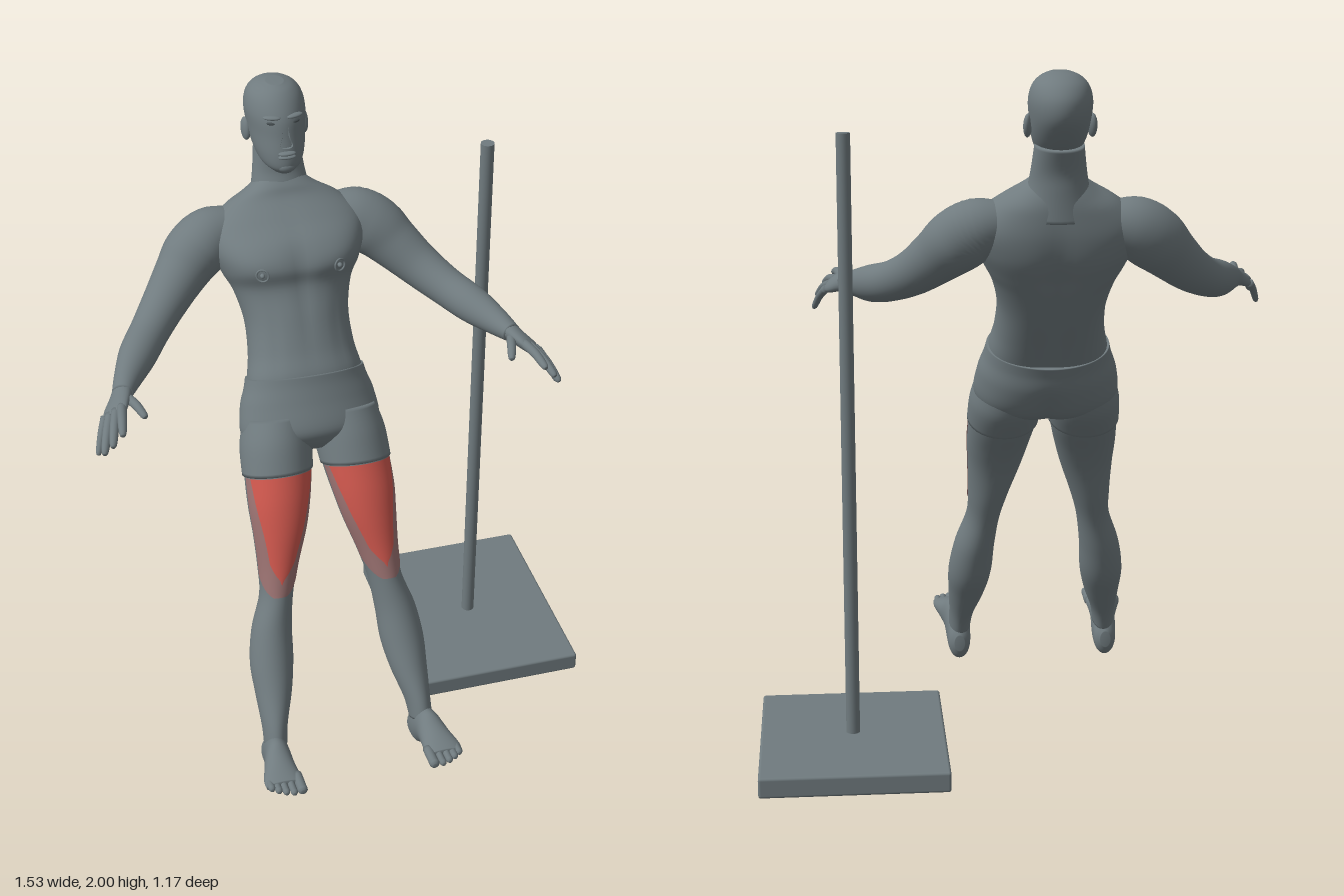
import * as THREE from 'three';
import { RoundedBoxGeometry } from 'three/addons/geometries/RoundedBoxGeometry.js';

const V = (x, y, z) => new THREE.Vector3(x, y, z);
const bell = (d, w) => Math.exp(-(d * d) / (w * w));

// Smoothly subdivide rows of numbers [x, y, z, radiusA, radiusB]
function smooth(rows, n = 6) {
  const at = i => rows[Math.max(0, Math.min(rows.length - 1, i))];
  const out = [];
  for (let i = 0; i < rows.length - 1; i++) for (let k = 0; k < n; k++) {
    const t = k / n, [a, b, c, d] = [at(i - 1), at(i), at(i + 1), at(i + 2)];
    out.push(b.map((p, j) => p + 0.5 * t * (c[j] - a[j] + t * (2 * a[j] - 5 * p + 4 * c[j] - d[j]
      + t * (3 * (p - c[j]) + d[j] - a[j])))));
  }
  out.push(rows[rows.length - 1]);
  return out;
}

// Skin elliptical rings. frame gives the ring axes, bump scales the radius,
// half limits the ring to an open strip around its front.
function loft(rows, frame, { bump = () => 1, half = null, offset = 0, seg = 36, steps = 6 } = {}) {
  const R = smooth(rows, steps), pos = [], idx = [];
  const ring = (r, i, k) => {
    const c = V(r[0], r[1], r[2]), [u, v] = frame(R, i), w = half ? half(r[1]) : Math.PI;
    const count = half ? seg + 1 : seg;
    for (let j = 0; j < count; j++) {
      const phi = -w + 2 * w * j / seg, m = bump(phi, r[1]) * k;
      const p = c.clone().addScaledVector(u, Math.sin(phi) * (r[3] + offset) * m)
        .addScaledVector(v, -Math.cos(phi) * (r[4] + offset) * m);
      pos.push(p.x, p.y, p.z);
    }
    return count;
  };
  const last = R.length - 1;
  let count = 0, rings = 0;
  const add = (i, k) => { count = ring(R[i], i, k); rings++; };
  if (!half) add(0, 0.001);
  R.forEach((r, i) => add(i, 1));
  if (!half) add(last, 0.001);
  for (let i = 0; i < rings - 1; i++) for (let j = 0; j < seg; j++) {
    const a = i * count + j, b = i * count + (j + 1) % count;
    idx.push(a, b, b + count, a, b + count, a + count);
  }
  const g = new THREE.BufferGeometry();
  g.setAttribute('position', new THREE.Float32BufferAttribute(pos, 3));
  g.setIndex(idx);
  g.computeVertexNormals();
  return g;
}

// Ring frames: level or leaning rings, rings facing forward, rings across a path
const lean = k => () => [V(1, 0, 0), V(0, -k, -1)];
const forward = () => [V(1, 0, 0), V(0, 1, 0)];
const across = ref => (R, i) => {
  const a = R[Math.max(0, i - 1)], b = R[Math.min(R.length - 1, i + 1)];
  const t = V(b[0] - a[0], b[1] - a[1], b[2] - a[2]).normalize();
  const u = ref.clone().addScaledVector(t, -ref.dot(t)).normalize();
  return [u, t.clone().cross(u)];
};

export function createModel() {
  const grey = new THREE.MeshStandardMaterial({ color: 0x707b7f });
  const red = new THREE.MeshStandardMaterial({ color: 0xcc564c, side: THREE.DoubleSide });
  const paleRed = new THREE.MeshStandardMaterial({ color: 0x98706f, side: THREE.DoubleSide });
  const dark = new THREE.MeshStandardMaterial({ color: 0x454d50 });
  grey.name = 'slateGrey'; red.name = 'muscleRed'; paleRed.name = 'paleRed'; dark.name = 'darkGrey';

  const model = new THREE.Group(), body = new THREE.Group();
  model.name = 'figureWithStand';
  body.name = 'figure';
  body.position.x = -0.085;
  model.add(body);
  const put = (name, geo, mat = grey, parent = body) => {
    const m = new THREE.Mesh(geo, mat);
    m.name = name;
    parent.add(m);
    return m;
  };
  const blob = (name, x, y, z, sx, sy, sz, mat = grey) => {
    const m = put(name, new THREE.SphereGeometry(1, 20, 14), mat);
    m.position.set(x, y, z);
    m.scale.set(sx, sy, sz);
    return m;
  };

  // Stand
  put('standBase', new RoundedBoxGeometry(0.54, 0.06, 0.66, 2, 0.008), grey, model).position.set(0.495, 0.03, -0.25);
  put('standPole', new THREE.CylinderGeometry(0.02, 0.02, 1.765, 24), grey, model).position.set(0.495, 0.9325, -0.245);

  // Torso with chest, breastbone groove and spine groove
  put('torso', loft([
    [0, 1.14, -0.13, 0.17, 0.1], [0, 1.19, -0.145, 0.172, 0.11], [0, 1.255, -0.185, 0.158, 0.113],
    [0, 1.34, -0.235, 0.155, 0.12], [0, 1.42, -0.278, 0.175, 0.124], [0, 1.475, -0.295, 0.203, 0.134],
    [0, 1.535, -0.33, 0.228, 0.13], [0, 1.588, -0.37, 0.228, 0.105], [0, 1.64, -0.4, 0.17, 0.077],
    [0, 1.675, -0.41, 0.11, 0.064], [0, 1.7, -0.415, 0.075, 0.05],
  ], lean(0.47), {
    seg: 64,
    bump: (p, y) => {
      const q = Math.abs(p), back = Math.PI - q;
      return 1 + 0.04 * Math.sin(2 * p) ** 2 + 0.08 * bell(q - 0.55, 0.42) * bell(y - 1.49, 0.05)
        - 0.04 * bell(p, 0.13) * bell(y - 1.42, 0.16) - 0.09 * bell(back, 0.2) * bell(y - 1.4, 0.2)
        + 0.04 * bell(back - 0.6, 0.35) * bell(y - 1.5, 0.1) - 0.02 * bell(q - 0.62, 0.1) * bell(y - 1.3, 0.1);
    },
  }));

  // Shorts
  put('shorts', loft([
    [0, 0.985, -0.055, 0.09, 0.055], [0, 1.01, -0.065, 0.17, 0.09], [0, 1.045, -0.08, 0.21, 0.112],
    [0, 1.115, -0.118, 0.203, 0.118], [0, 1.165, -0.137, 0.186, 0.116], [0, 1.195, -0.148, 0.178, 0.117],
  ], lean(0.47), {
    seg: 64,
    bump: (p, y) => {
      const back = Math.PI - Math.abs(p);
      return 1 + 0.07 * bell(back - 0.65, 0.45) * bell(y - 1.04, 0.07) - 0.1 * bell(back, 0.16) * bell(y - 1.03, 0.07);
    },
  }));

  // Neck and head
  put('neck', loft([
    [0, 1.6, -0.41, 0.11, 0.07], [0, 1.68, -0.413, 0.086, 0.065], [0, 1.735, -0.425, 0.076, 0.056],
    [0, 1.8, -0.44, 0.068, 0.065],
  ], lean(0.2)));
  put('head', loft([
    [0, 1.762, -0.375, 0.035, 0.055], [0, 1.783, -0.395, 0.06, 0.09], [0, 1.82, -0.42, 0.075, 0.113],
    [0, 1.87, -0.447, 0.083, 0.127], [0, 1.92, -0.457, 0.087, 0.123], [0, 1.96, -0.458, 0.077, 0.099],
    [0, 1.985, -0.452, 0.054, 0.066], [0, 1.997, -0.445, 0.025, 0.03],
  ], lean(0)));
  put('nose', loft([
    [0, 1.915, -0.335, 0.009, 0.008], [0, 1.88, -0.316, 0.011, 0.014], [0, 1.858, -0.311, 0.018, 0.018],
    [0, 1.848, -0.318, 0.014, 0.012],
  ], lean(0), { seg: 16 }));
  for (const y of [1.832, 1.821]) blob('lip', 0, y, -0.309, 0.026, 0.006, 0.012);
  blob('chin', 0, 1.785, -0.322, 0.027, 0.019, 0.02);

  for (const s of [1, -1]) {
    const side = s > 0 ? 'left' : 'right';
    const flip = rows => rows.map(([x, ...rest]) => [s * x, ...rest]);

    // Face and chest details
    blob(side + 'Ear', s * 0.087, 1.852, -0.452, 0.012, 0.034, 0.02).rotation.set(-0.3, s * -0.35, 0);
    blob(side + 'Brow', s * 0.034, 1.93, -0.347, 0.026, 0.006, 0.011).rotation.y = s * 0.35;
    blob(side + 'Eye', s * 0.034, 1.913, -0.347, 0.015, 0.005, 0.008, dark).rotation.y = s * 0.35;
    const areola = put(side + 'Areola', new THREE.TorusGeometry(0.018, 0.003, 8, 24));
    areola.position.set(s * 0.115, 1.53, -0.162);
    areola.rotation.set(-0.15, s * 0.45, 0);
    blob(side + 'Nipple', s * 0.115, 1.53, -0.162, 0.007, 0.007, 0.009);

    // Arm
    const ref = V(s * -0.75, -0.6, 0);
    put(side + 'Arm', loft(flip([
      [0.13, 1.575, -0.375, 0.06, 0.06], [0.215, 1.562, -0.37, 0.086, 0.086], [0.275, 1.525, -0.35, 0.09, 0.09],
      [0.325, 1.48, -0.315, 0.078, 0.078], [0.385, 1.428, -0.26, 0.066, 0.066], [0.445, 1.39, -0.185, 0.058, 0.058],
      [0.5, 1.368, -0.1, 0.053, 0.055], [0.545, 1.355, -0.015, 0.039, 0.041], [0.575, 1.347, 0.05, 0.032, 0.027],
    ]), across(V(s * 0.75, -0.6, 0))));

    // Hand
    put(side + 'Palm', loft(flip([
      [0.57, 1.349, 0.035, 0.031, 0.026], [0.585, 1.345, 0.07, 0.037, 0.022], [0.603, 1.338, 0.105, 0.043, 0.019],
      [0.614, 1.332, 0.132, 0.038, 0.014],
    ]), across(V(s * 0.75, -0.6, -0.2)), { seg: 24 }));
    [[0.588, 1.352, 0.115, 0.61, 1.345, 0.245], [0.605, 1.343, 0.12, 0.639, 1.312, 0.245],
      [0.622, 1.33, 0.115, 0.661, 1.277, 0.225], [0.636, 1.317, 0.105, 0.672, 1.247, 0.18],
      [0.565, 1.348, 0.07, 0.532, 1.342, 0.172]].forEach(([x, y, z, X, Y, Z], i) => {
      const r = i === 3 ? 0.0105 : 0.0125, at = (t, k, up) =>
        [x + (X - x) * t, y + (Y - y) * t + up, z + (Z - z) * t, r * k, r * k];
      put(side + (i === 4 ? 'Thumb' : 'Finger'), loft(flip([
        at(0, 1.15, 0), at(0.5, 1.05, 0.008), at(0.9, 0.85, 0.002), at(1, 0.45, 0),
      ]), across(ref), { seg: 14, steps: 4 }));
    });

    // Leg
    const leg = flip([
      [0.115, 1.0, -0.045, 0.1, 0.09], [0.12, 0.942, -0.01, 0.1, 0.088], [0.13, 0.868, 0.037, 0.093, 0.079],
      [0.139, 0.79, 0.075, 0.08, 0.071], [0.155, 0.69, 0.11, 0.061, 0.065], [0.169, 0.605, 0.14, 0.051, 0.06],
      [0.193, 0.505, 0.172, 0.061, 0.064], [0.205, 0.41, 0.212, 0.066, 0.067], [0.213, 0.33, 0.262, 0.056, 0.061],
      [0.225, 0.248, 0.317, 0.039, 0.055], [0.23, 0.19, 0.345, 0.034, 0.052],
    ]);
    const down = () => [V(-1, 0, 0), V(0, -0.47, -1)];
    put(side + 'Leg', loft(leg, down));
    put(side + 'ShortsLeg', loft(flip([
      [0.1, 1.09, -0.095, 0.098, 0.1], [0.112, 1.02, -0.06, 0.108, 0.107], [0.12, 0.945, -0.012, 0.106, 0.096],
    ]), down));

    // Highlighted thigh muscle: strong patch with a pale border
    const thigh = leg.slice(1, 6);
    put(side + 'ThighBorder', loft(thigh, down, { half: y => 1.42 * Math.sqrt(Math.min(1, Math.max(0, (y - 0.6) / 0.07))), offset: 0.002 }), paleRed);
    put(side + 'ThighMuscle', loft(thigh, down, {
      half: y => (0.5 + 0.6 * Math.max(0, y - 0.66) / 0.28) * Math.sqrt(Math.min(1, Math.max(0, (y - 0.655) / 0.05))), offset: 0.004,
    }), red);

    // Foot and toes
    put(side + 'Foot', loft(flip([
      [0.233, 0.135, 0.286, 0.016, 0.025], [0.233, 0.135, 0.305, 0.033, 0.053], [0.234, 0.157, 0.35, 0.038, 0.074],
      [0.238, 0.185, 0.4, 0.04, 0.064], [0.244, 0.191, 0.45, 0.047, 0.042], [0.249, 0.195, 0.5, 0.055, 0.026],
      [0.25, 0.198, 0.535, 0.054, 0.015],
    ]), forward));
    for (let i = 0; i < 5; i++) {
      const x = [0.204, 0.23, 0.252, 0.272, 0.29][i], r = i ? 0.0105 : 0.015, tip = [0.582, 0.584, 0.577, 0.566, 0.552][i];
      put(side + 'Toe', loft(flip([
        [x, 0.198, 0.5, r, r], [x, 0.202, tip - 0.025, r, r], [x, 0.204, tip - 0.008, r, r], [x, 0.203, tip, r * 0.5, r * 0.5],
      ]), forward, { seg: 14, steps: 4 }));
    }
  }
  return model;
}
